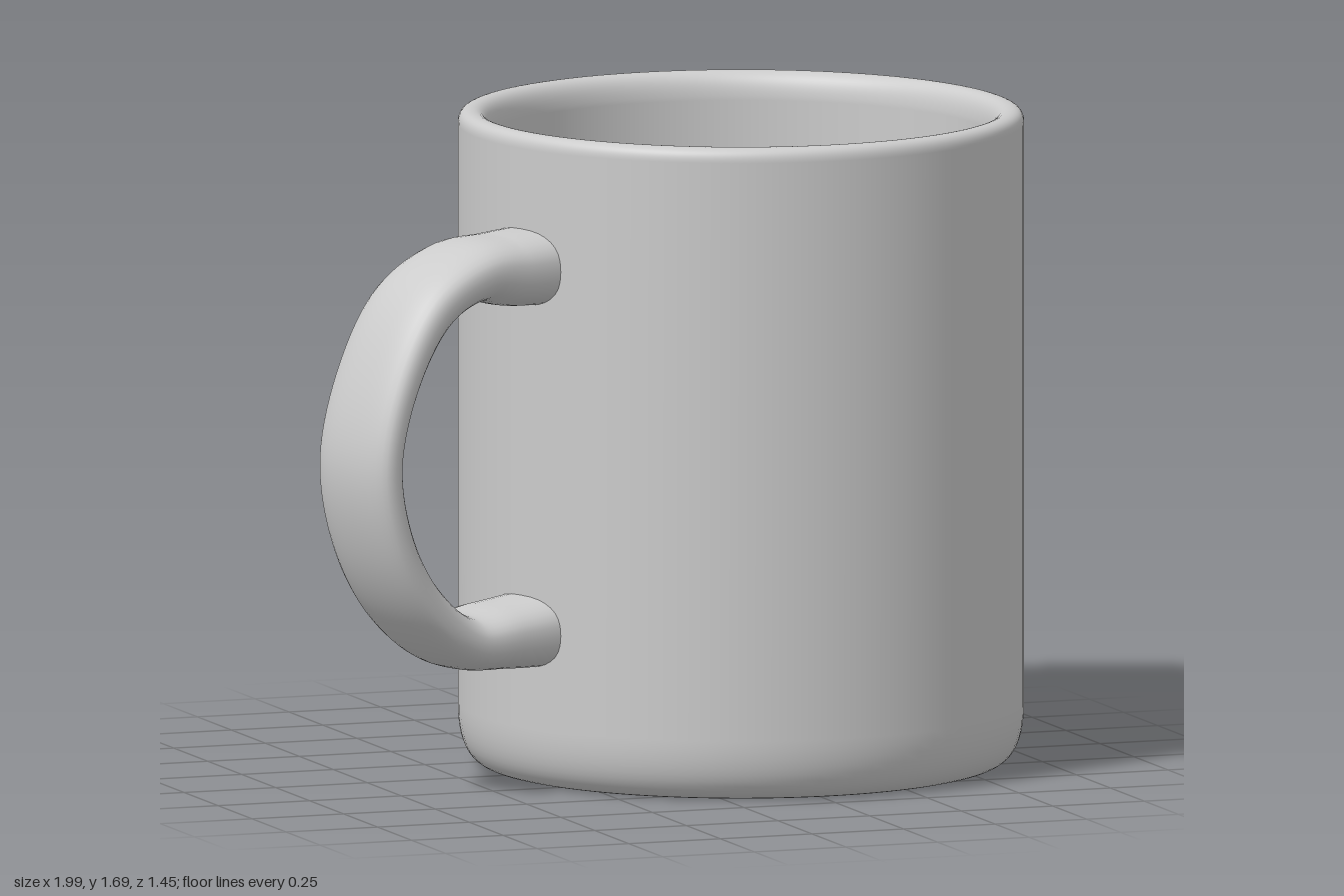
import * as THREE from 'three';

const material = new THREE.MeshStandardMaterial({ color: 0xcccccc });

// Hollow cup: one closed profile from the underside, over the rim, to the inner floor
function makeCup() {
  const p = new THREE.Path();
  p.moveTo(0, 0);
  p.lineTo(0.63, 0);
  p.bezierCurveTo(0.69, 0, 0.725, 0.05, 0.725, 0.16);
  p.lineTo(0.725, 1.655);
  p.quadraticCurveTo(0.725, 1.692, 0.69, 1.692);
  p.quadraticCurveTo(0.645, 1.692, 0.642, 1.62);
  p.lineTo(0.642, 0.2);
  p.quadraticCurveTo(0.642, 0.09, 0.54, 0.09);
  p.lineTo(0, 0.09);
  const cup = new THREE.Mesh(new THREE.LatheGeometry(p.getPoints(12), 96), material);
  cup.name = 'cup';
  return cup;
}

// Strap handle: rounded flat cross-sections swept along a C curve, thicker at both roots
function makeHandle() {
  // distance from the cup axis, height, half thickness
  const path = new THREE.CatmullRomCurve3([
    [0.68, 1.35, 0.1], [0.8, 1.35, 0.092], [0.92, 1.355, 0.076], [1.07, 1.285, 0.066],
    [1.185, 1.12, 0.058], [1.25, 0.89, 0.056], [1.21, 0.68, 0.058], [1.11, 0.515, 0.064],
    [0.965, 0.408, 0.07], [0.82, 0.405, 0.084], [0.68, 0.41, 0.095],
  ].map((v) => new THREE.Vector3(...v)));
  const steps = 80, sides = 32, halfWidth = 0.145;
  const round = (v) => Math.sign(v) * Math.abs(v) ** 0.8;
  const positions = [], index = [];
  for (let i = 0; i <= steps; i++) {
    const c = path.getPoint(i / steps);
    const t = path.getTangent(i / steps).setZ(0).normalize();
    for (let j = 0; j < sides; j++) {
      const a = (j / sides) * Math.PI * 2;
      const n = c.z * round(Math.cos(a));
      positions.push(c.x - t.y * n, c.y + t.x * n, halfWidth * round(Math.sin(a)));
      if (i < steps) {
        const p = i * sides + j, q = i * sides + ((j + 1) % sides);
        index.push(p, q, p + sides, q, q + sides, p + sides);
      }
    }
  }
  const g = new THREE.BufferGeometry();
  g.setAttribute('position', new THREE.Float32BufferAttribute(positions, 3));
  g.setIndex(index);
  g.computeVertexNormals();
  const handle = new THREE.Mesh(g, material);
  handle.name = 'handle';
  handle.rotation.y = Math.PI + 0.325;
  return handle;
}

export function createModel() {
  const mug = new THREE.Group();
  mug.name = 'mug';
  mug.add(makeCup(), makeHandle());
  mug.position.x = 0.27;
  const model = new THREE.Group();
  model.add(mug);
  return model;
}
